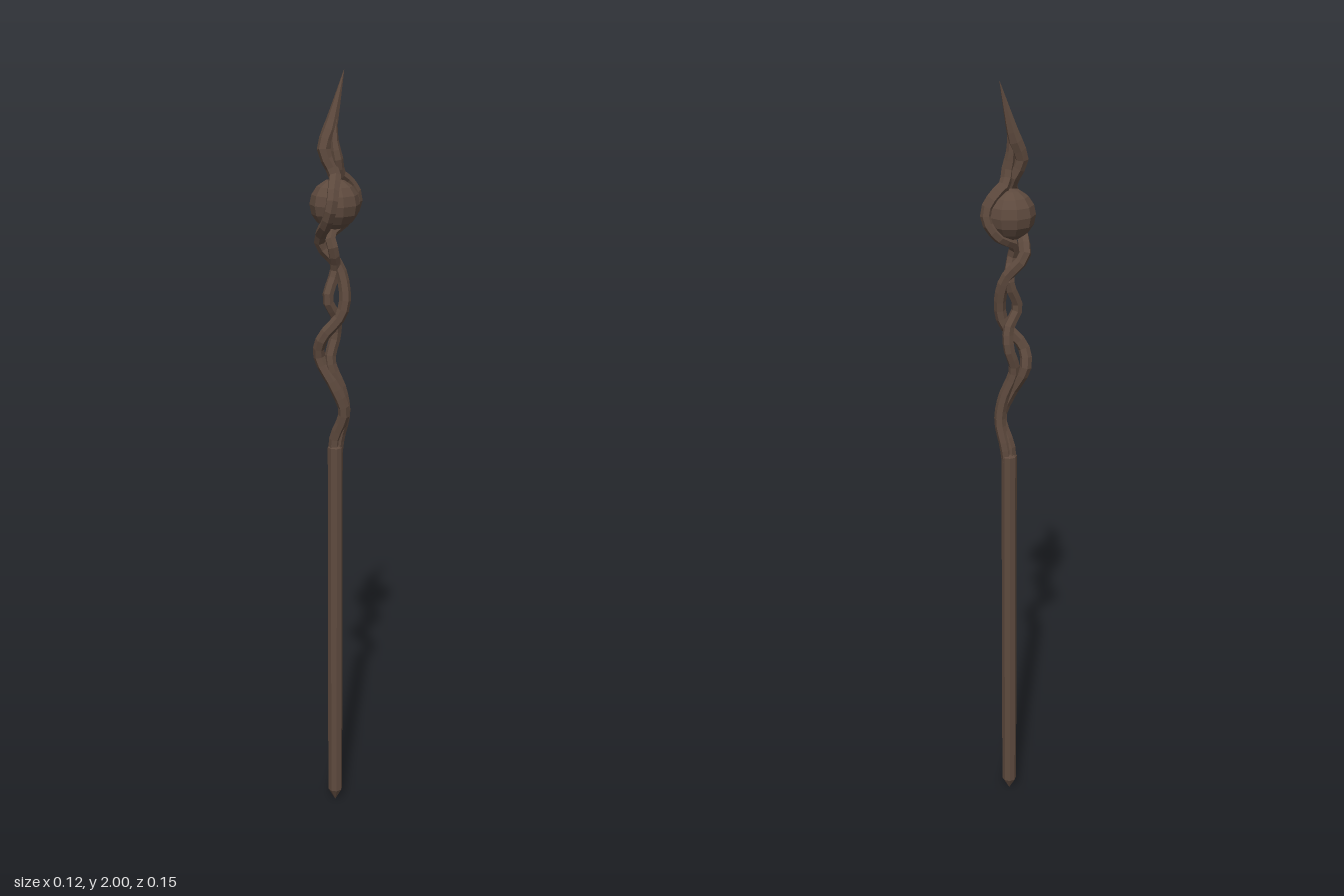
import * as THREE from 'three';

const v = (a) => new THREE.Vector3(...a);

// Tube along a curve whose radius follows a list of [t, radius] stops
function taperedTube(points, stops, sides, segments) {
  const curve = new THREE.CatmullRomCurve3(points.map(v), false, 'centripetal');
  const geo = new THREE.TubeGeometry(curve, segments, 1, sides, false);
  const pos = geo.attributes.position;
  const p = new THREE.Vector3();
  for (let i = 0; i <= segments; i++) {
    const t = i / segments;
    const k = Math.max(1, stops.findIndex((s) => s[0] >= t));
    const [t0, r0] = stops[k - 1];
    const [t1, r1] = stops[k];
    const r = r0 + (r1 - r0) * (t - t0) / (t1 - t0);
    const c = curve.getPointAt(t);
    for (let j = 0; j <= sides; j++) {
      const n = i * (sides + 1) + j;
      p.fromBufferAttribute(pos, n).sub(c).multiplyScalar(r).add(c);
      pos.setXYZ(n, p.x, p.y, p.z);
    }
  }
  geo.computeVertexNormals();
  return geo;
}

export function createModel() {
  const wood = new THREE.MeshStandardMaterial({ color: 0x5e4a3e, flatShading: true });
  const group = new THREE.Group();
  const add = (name, geo, x = 0, y = 0, z = 0) => {
    const mesh = new THREE.Mesh(geo, wood);
    mesh.name = name;
    mesh.position.set(x, y, z);
    group.add(mesh);
  };

  // Straight shaft with a pointed foot
  const profile = [[0, 0], [0.02, 0.036], [0.02, 1.055], [0, 1.075]];
  add('shaft', new THREE.LatheGeometry(profile.map((p) => new THREE.Vector2(...p)), 8), -0.007, 0, -0.013);

  // Faceted ball held between the twisted branches
  add('orb', new THREE.SphereGeometry(0.062, 10, 8), 0, 1.685, 0);

  // Branch that passes in front of the ball and ends in the spike
  const front = [
    [-0.009, 1.03, -0.01], [-0.006, 1.08, -0.01], [0.021, 1.155, -0.012],
    [0.002, 1.22, 0.002], [-0.038, 1.3, 0.015], [-0.024, 1.35, 0.021],
    [0.01, 1.4, -0.004], [0.021, 1.44, -0.014], [0.002, 1.525, -0.018],
    [-0.038, 1.585, 0.008], [-0.024, 1.615, 0.024], [0.008, 1.642, 0.05],
    [0.03, 1.69, 0.059], [0.024, 1.728, 0.042], [0.008, 1.755, 0.012],
    [-0.002, 1.775, 0.012], [-0.019, 1.815, 0.02], [-0.012, 1.87, 0],
    [0.005, 2, -0.033],
  ];
  add('frontBranch', taperedTube(front, [[0, 0.015], [0.5, 0.015], [0.8, 0.016], [0.87, 0.018], [1, 0.0005]], 6, 46));

  // Branch that passes behind the ball and joins the spike
  const back = [
    [-0.005, 1.03, -0.016], [0, 1.08, -0.02], [0.016, 1.15, -0.022],
    [0.01, 1.21, -0.016], [-0.014, 1.29, 0], [-0.01, 1.35, -0.018],
    [-0.004, 1.4, -0.012], [-0.012, 1.45, 0.014], [-0.006, 1.52, -0.012],
    [0.002, 1.575, 0.01], [-0.01, 1.61, 0.004], [0, 1.635, -0.04],
    [0.02, 1.67, -0.059], [0.025, 1.7, -0.06], [0.014, 1.735, -0.042],
    [0.006, 1.758, -0.012], [0.008, 1.79, 0], [0, 1.835, 0.002],
    [-0.002, 1.92, -0.012],
  ];
  add('backBranch', taperedTube(back, [[0, 0.015], [0.5, 0.014], [0.88, 0.015], [1, 0.001]], 6, 46));

  return group;
}
